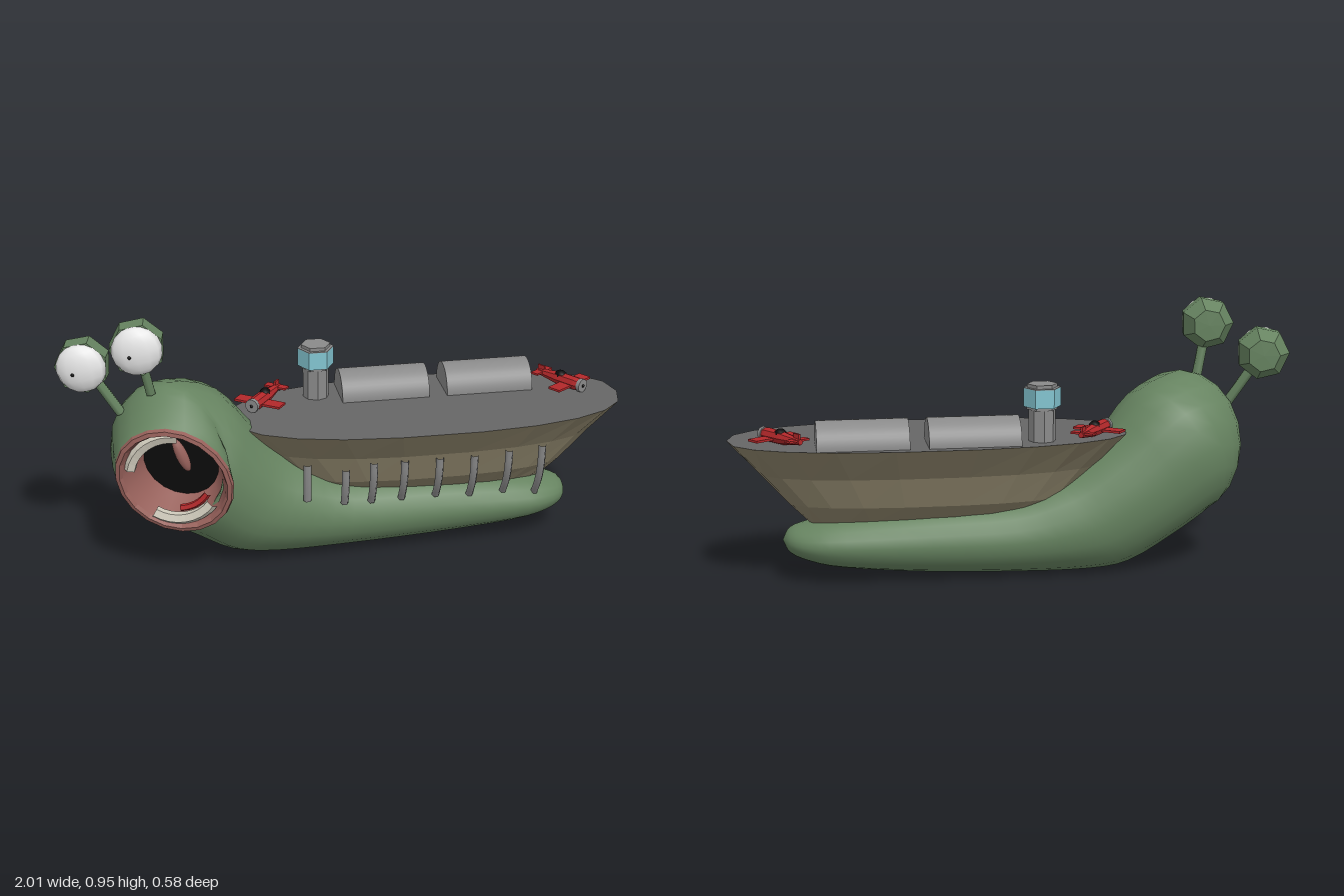
import * as THREE from 'three';

const mat = (name, color) => Object.assign(new THREE.MeshStandardMaterial({ color }), { name });
const V = (x, y, z) => new THREE.Vector3(x, y, z);

// Skin through rings of equal point count; flat gives faceted normals
function loft(rings, flat = false) {
  const n = rings[0].length, idx = [];
  for (let i = 0; i < rings.length - 1; i++) {
    for (let j = 0; j < n; j++) {
      const a = i * n + j, b = i * n + (j + 1) % n;
      idx.push(a, a + n, b, b, a + n, b + n);
    }
  }
  let g = new THREE.BufferGeometry().setFromPoints(rings.flat());
  g.setIndex(idx);
  if (flat) g = g.toNonIndexed();
  g.computeVertexNormals();
  return g;
}

function facet(g) {
  const f = g.index ? g.toNonIndexed() : g;
  f.computeVertexNormals();
  return f;
}

// Ellipse around c with half-axis vectors u and v
function ring(c, u, v, s = 1) {
  return Array.from({ length: 20 }, (_, j) => {
    const t = j / 20 * Math.PI * 2;
    return c.clone().addScaledVector(u, Math.cos(t) * s).addScaledVector(v, Math.sin(t) * s);
  });
}

export function createModel() {
  const green = mat('slugGreen', 0x668360), khaki = mat('hullKhaki', 0x8c836a);
  const deckGrey = mat('deckGrey', 0x666666), grey = mat('metalGrey', 0x8a8a8a);
  const blue = mat('glassBlue', 0x82c4d0), red = mat('planeRed', 0xb3282a);
  const black = mat('black', 0x0c0c0c), lip = mat('lipBrown', 0x96605a);
  const white = mat('eyeWhite', 0xe6e6e6), ivory = mat('toothIvory', 0xcfcabb);

  const model = new THREE.Group();
  const add = (name, geo, material, x = 0, y = 0, z = 0, parent = model) => {
    const m = new THREE.Mesh(geo, material);
    m.name = name;
    m.position.set(x, y, z);
    parent.add(m);
    return m;
  };
  const group = (name, x, y, z) => {
    const g = new THREE.Group();
    g.name = name;
    g.position.set(x, y, z);
    model.add(g);
    return g;
  };

  // Body: centre, up half-axis, side half-axis, from tail to mouth
  const sections = [
    [V(0.815, 0.143, -0.01), V(0, 0.0003, 0), V(0, 0, 0.0003)],
    [V(0.79, 0.142, -0.01), V(0, 0.043, 0), V(0, 0, 0.07)],
    [V(0.72, 0.138, -0.012), V(0, 0.07, 0), V(0, 0, 0.12)],
    [V(0.6, 0.136, -0.015), V(0, 0.094, 0), V(0, 0, 0.145)],
    [V(0.3, 0.135, -0.015), V(0, 0.12, 0), V(0, 0, 0.155)],
    [V(0.0, 0.138, -0.01), V(0.02, 0.136, 0), V(0, 0, 0.165)],
    [V(-0.195, 0.165, -0.003), V(0.075, 0.165, 0), V(0, 0, 0.18)],
    [V(-0.32, 0.205, 0.005), V(0.1, 0.183, 0), V(0, 0, 0.192)],
    [V(-0.445, 0.295, 0.015), V(0.115, 0.195, 0), V(0.045, -0.02, 0.203)],
    [V(-0.56, 0.4, 0.03), V(0.1, 0.237, -0.01), V(0.115, -0.045, 0.198)],
    [V(-0.635, 0.432, 0.078), V(0.015, 0.264, 0), V(0.18, -0.01, 0.13)],
    [V(-0.635, 0.41, 0.15), V(-0.01, 0.243, 0.005), V(0.197, 0, 0.085)],
    [V(-0.63, 0.392, 0.215), V(-0.025, 0.2, 0.015), V(0.196, 0, 0.058)],
  ];
  const curves = [0, 1, 2].map(k => new THREE.CatmullRomCurve3(sections.map(s => s[k]), false, 'catmullrom', 0.5));
  const steps = 36;
  add('body', loft(Array.from({ length: steps + 1 }, (_, i) => ring(...curves.map(c => c.getPoint(i / steps))))), green);

  // Mouth: rolled lip, throat wall and dark back, turned slightly outward
  const [mc, mu, mv] = sections[sections.length - 1];
  const out = V(0, 0, 0).crossVectors(mv, mu).normalize();
  const mouthRings = list => list.map(([s, d]) => ring(mc.clone().addScaledVector(out, d), mu, mv, s));
  add('lips', loft(mouthRings([[1, 0], [0.98, 0.016], [0.91, 0.02], [0.87, 0.005]]), true), lip);
  add('throat', loft(mouthRings([[0.87, 0.005], [0.76, -0.06], [0.64, -0.12]])), lip);
  add('mouthBack', loft(mouthRings([[0.64, -0.12], [0.001, -0.125]])), black);
  const mouth = group('mouth', mc.x, mc.y, mc.z);
  mouth.rotation.y = Math.atan2(out.x, out.z);
  const arc = (name, material, r, tube, from, to, z) => {
    const d = Math.PI / 180;
    const g = new THREE.TorusGeometry(r, tube, 5, 8, (to - from) * d);
    g.rotateZ(from * d);
    add(name, facet(g), material, 0, 0, z, mouth);
  };
  arc('upperTeeth', ivory, 0.157, 0.022, 85, 170, -0.008);
  arc('lowerTeeth', ivory, 0.152, 0.022, 240, 325, -0.015);
  arc('gum', red, 0.122, 0.013, 275, 330, -0.035);
  const tongue = add('tongue', new THREE.SphereGeometry(1, 10, 8), lip, 0.01, 0.055, -0.085, mouth);
  tongue.scale.set(0.022, 0.065, 0.02);
  tongue.rotation.z = 0.4;

  // Eyes on stalks: faceted green cup, white ball, small pupil
  const cup = new THREE.LatheGeometry(
    [[0, -0.075], [0.058, -0.073], [0.095, -0.015], [0.092, 0.05], [0, 0.052]].map(p => new THREE.Vector2(...p)), 7);
  cup.rotateX(Math.PI / 2);
  const cupFlat = facet(cup);
  [
    [V(-0.729, 0.857, 0.125), V(-0.69, 0.67, 0.105), -0.12],
    [V(-0.908, 0.762, 0.012), V(-0.79, 0.58, 0.045), -0.2],
  ].forEach(([p, root, turn]) => {
    const eye = group('eye', p.x, p.y, p.z);
    eye.rotation.set(0, turn, 0.2);
    add('eyeCup', cupFlat, green, 0, 0, 0, eye);
    add('eyeball', new THREE.SphereGeometry(0.086, 12, 8), white, 0, 0, 0.052, eye).scale.z = 0.48;
    add('pupil', new THREE.SphereGeometry(0.006, 8, 6), black, -0.025, -0.005, 0.09, eye);
    add('eyeStalk', new THREE.TubeGeometry(new THREE.LineCurve3(root, p), 1, 0.018, 6), green);
  });

  // Ship hull: rounded outlines rising from keel to a flared rim
  const outline = (y, x0, x1, b) => Array.from({ length: 22 }, (_, j) => {
    const t = j / 22 * Math.PI * 2;
    const pw = k => Math.sign(k) * Math.abs(k) ** 0.83;
    return V((x0 + x1) / 2 + pw(Math.cos(t)) * (x1 - x0) / 2, y, -0.016 + pw(Math.sin(t)) * b);
  });
  const rim = outline(0.505, -0.41, 1.0, 0.273);
  add('hull', loft([outline(0.205, -0.1, 0.72, 0.077), outline(0.28, -0.2, 0.795, 0.142),
    outline(0.39, -0.3, 0.895, 0.185), rim], true), khaki);
  add('deck', loft([rim, outline(0.505, 0.29, 0.2902, 0.0001)], true), deckGrey);

  // Straps hugging the hull side: x, bottom, top, bottom z
  [[-0.165, 0.25, 0.39, 0.165], [-0.03, 0.22, 0.36, 0.145], [0.07, 0.21, 0.38, 0.125], [0.18, 0.21, 0.38, 0.118],
    [0.305, 0.21, 0.38, 0.113], [0.43, 0.2, 0.38, 0.108], [0.555, 0.2, 0.39, 0.102], [0.675, 0.175, 0.4, 0.088],
  ].forEach(([x, y0, y1, z0]) => {
    const path = [[1, 1], [0.66, 0.92], [0.33, 0.6], [0, 0]]
      .map(([f, w]) => V(x, y0 + (y1 - y0) * f, z0 + (0.172 - z0) * w));
    add('strap', new THREE.TubeGeometry(new THREE.CatmullRomCurve3(path), 6, 0.014, 6), grey);
  });

  // Hangars: half cylinders lying on the deck
  [[0.003, 0.32], [0.385, 0.7]].forEach(([a, b]) => {
    const g = new THREE.CylinderGeometry(0.091, 0.091, b - a, 20, 1, false, 0, Math.PI);
    add('hangar', g.rotateZ(Math.PI / 2), grey, (a + b) / 2, 0.506, -0.166);
  });

  // Control tower
  const drum = (name, m, r, y0, y1, sides) => {
    const g = new THREE.CylinderGeometry(r, r, y1 - y0, sides);
    add(name, facet(g.rotateY(Math.PI / 2)), m, -0.08, (y0 + y1) / 2, -0.165);
  };
  drum('towerShaft', grey, 0.047, 0.5, 0.618, 8);
  drum('towerCollar', grey, 0.054, 0.616, 0.626, 6);
  drum('towerWindows', blue, 0.065, 0.626, 0.69, 6);
  drum('towerLid', grey, 0.065, 0.69, 0.693, 6);
  drum('towerRoof', grey, 0.053, 0.693, 0.705, 6);

  // Parked planes, nose toward local +z
  const fuselage = new THREE.LatheGeometry(
    [[0, -0.11], [0.01, -0.11], [0.024, -0.01], [0.025, 0.07], [0.02, 0.095]].map(p => new THREE.Vector2(...p)), 8);
  fuselage.rotateX(Math.PI / 2);
  [[-0.27, -0.13, -0.62], [0.815, -0.105, 0.62]].forEach(([x, z, turn]) => {
    const plane = group('plane', x, 0.53, z);
    plane.rotation.y = turn;
    add('fuselage', facet(fuselage), red, 0, 0, 0, plane);
    add('wing', new THREE.BoxGeometry(0.18, 0.008, 0.05), red, 0, -0.006, 0.04, plane);
    add('tailplane', new THREE.BoxGeometry(0.085, 0.007, 0.03), red, 0, 0.004, -0.09, plane);
    add('fin', new THREE.BoxGeometry(0.007, 0.03, 0.03), red, 0, 0.012, -0.09, plane);
    add('cockpit', new THREE.SphereGeometry(0.02, 8, 6), black, 0, 0.012, 0, plane).scale.z = 1.3;
    const nose = new THREE.CylinderGeometry(0.025, 0.025, 0.014, 10);
    add('engineFace', nose.rotateX(Math.PI / 2), grey, 0, 0, 0.094, plane);
    add('propHub', new THREE.SphereGeometry(0.006, 6, 4), black, 0, 0, 0.102, plane);
  });

  return model;
}
